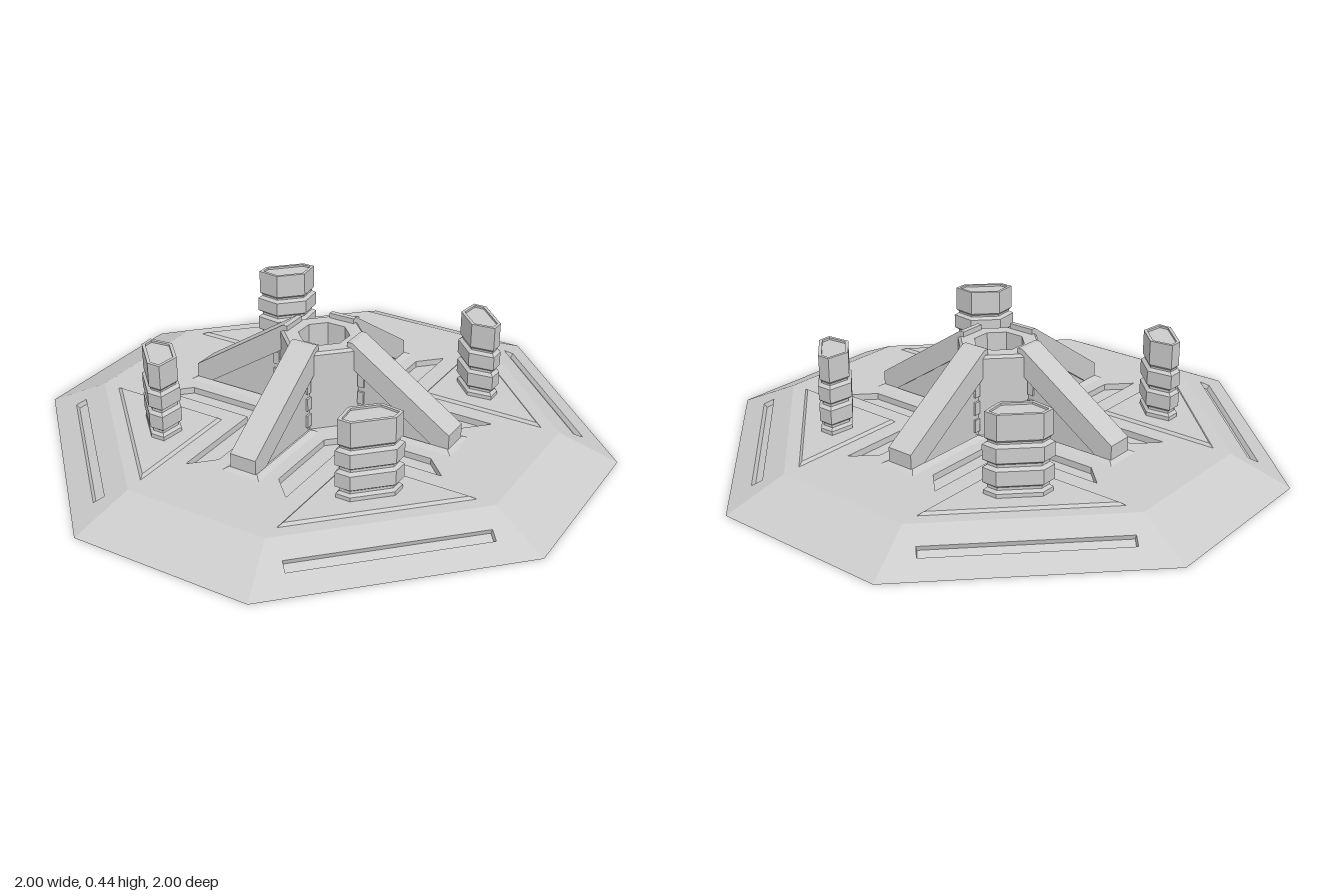
import * as THREE from 'three';

const material = new THREE.MeshStandardMaterial({ color: 0xcccccc, flatShading: true, side: THREE.DoubleSide });
const upright = (x, z, h) => [x, h, z];
const DECK = 0.1;

function mesh(name, geometry) {
  const m = new THREE.Mesh(geometry, material);
  m.name = name;
  return m;
}

function fromTriangles(flat) {
  const g = new THREE.BufferGeometry();
  g.setAttribute('position', new THREE.Float32BufferAttribute(flat, 3));
  g.computeVertexNormals();
  return g;
}

const vectors = pts => pts.map(([x, z]) => new THREE.Vector2(x, z));

// Same winding for every outline
function ordered(pts) {
  return THREE.ShapeUtils.isClockWise(vectors(pts)) ? [...pts].reverse() : pts;
}

// Grow (d > 0) or shrink (d < 0) an outline with mitred corners
function offset(pts, d) {
  const n = pts.length;
  const normal = (a, b) => {
    const dx = b[0] - a[0], dz = b[1] - a[1], l = Math.hypot(dx, dz);
    return [dz / l, -dx / l];
  };
  return pts.map((p, i) => {
    const a = normal(pts[(i + n - 1) % n], p), b = normal(p, pts[(i + 1) % n]);
    const k = d / (1 + a[0] * b[0] + a[1] * b[1]);
    return [p[0] + (a[0] + b[0]) * k, p[1] + (a[1] + b[1]) * k];
  });
}

// Upward face over an x,z outline, with holes
function face(name, pts, h, holes = [], map = upright) {
  const shape = new THREE.Shape(vectors(pts));
  holes.forEach(hole => shape.holes.push(new THREE.Path(vectors(hole))));
  const flat = new THREE.ShapeGeometry(shape), p = flat.attributes.position;
  const out = [];
  for (let i = 0; i < flat.index.count; i += 3) {
    for (const j of [0, 2, 1]) {
      const v = flat.index.getX(i + j);
      out.push(...map(p.getX(v), p.getY(v), h));
    }
  }
  return mesh(name, fromTriangles(out));
}

// Walls through [offset, height] steps, open at both ends
function walls(name, outline, steps, map = upright) {
  const pts = ordered(outline), out = [];
  const rings = steps.map(([d, h]) => offset(pts, d).map(([x, z]) => map(x, z, h)));
  for (let s = 0; s + 1 < rings.length; s++) {
    pts.forEach((_, i) => {
      const j = (i + 1) % pts.length, a = rings[s], b = rings[s + 1];
      out.push(...a[i], ...b[j], ...a[j], ...a[i], ...b[i], ...b[j]);
    });
  }
  return mesh(name, fromTriangles(out));
}

// Walls closed by a face at the last step
function cappedWalls(name, outline, steps, holes = [], map = upright) {
  const g = new THREE.Group();
  const [d, h] = steps[steps.length - 1];
  g.name = name;
  g.add(walls(name + 'Walls', outline, steps, map));
  g.add(face(name + 'Face', offset(ordered(outline), d), h, holes, map));
  return g;
}

const turn = (pts, a) => pts.map(([x, z]) =>
  [x * Math.cos(a) + z * Math.sin(a), z * Math.cos(a) - x * Math.sin(a)]);
const mirrored = half => [...half, ...half.map(([x, z]) => [-x, z]).reverse()];
const quarters = [0, 1, 2, 3].map(k => k * Math.PI / 2);

// Outlines of one quarter, facing +z
const triangle = [[-0.35, 0.75], [0.35, 0.75], [0, 0.4]];
const chevron = [[0, 0.3], [0.28, 0.58], [0.28, 0.46], [0.06, 0.24], [-0.06, 0.24], [-0.28, 0.46], [-0.28, 0.58]];
const pillarPlan = mirrored([[0.06, 0.56], [0.12, 0.635], [0.08, 0.675]]);
const slot = mirrored([[0.36, 0.92], [0.36, 0.88]]);
const columnPlan = quarters.flatMap(a => turn([[-0.093, 0.15], [0.093, 0.15]], a));
const well = quarters.flatMap(a => turn([[-0.037, 0.09], [0.037, 0.09]], a));
const finWidth = 0.04;

function quarterPanel() {
  const g = new THREE.Group();
  const slope = (x, z, h) => [x, (1 - z) / 2 + h * 0.9, z + h * 0.45];
  const corner = (x, z) => [x, (1.5 - x - z) / 3, z];
  g.add(face('skirt', mirrored([[0.5, 1], [0.4, 0.8]]), 0, [slot], slope));
  g.add(cappedWalls('skirtSlot', slot, [[0, 0], [-0.003, -0.018]], [], slope));
  g.add(face('skirtCorner', [[0.5, 1], [1, 0.5], [0.8, 0.4], [0.4, 0.8]], 0, [], corner));
  g.add(cappedWalls('raisedTriangle', triangle, [[0, DECK], [-0.01, 0.11]], [pillarPlan]));
  g.add(cappedWalls('chevronPocket', chevron, [[0, DECK], [0, 0.075]]));

  // Banded pillar with a shallow recess on top
  const profile = [[0, 0.11], [0, 0.125], [-0.01, 0.135]];
  for (const y of [0.15, 0.235]) {
    profile.push([-0.01, y - 0.005], [0.003, y + 0.005], [0.003, y + 0.06], [-0.01, y + 0.07]);
  }
  profile.push([-0.01, 0.312], [-0.003, 0.32], [-0.003, 0.415], [-0.015, 0.415], [-0.015, 0.407]);
  g.add(cappedWalls('pillar', pillarPlan, profile));
  return g;
}

function fin() {
  const g = new THREE.Group();
  // Sloping beam
  const beam = new THREE.Shape(vectors([[0.13, 0.435], [0.15, 0.435], [0.556, 0.165],
    [0.556, DECK], [0.5, DECK], [0.17, 0.32], [0.13, 0.35]]));
  const beamGeometry = new THREE.ExtrudeGeometry(beam, { depth: 0.106, bevelEnabled: false });
  beamGeometry.translate(0, 0, -0.053).rotateY(-Math.PI / 2);
  g.add(mesh('finBeam', beamGeometry));

  // Thin side walls below the beam, hollow between them
  const web = new THREE.Shape(vectors([[0.17, DECK], [0.5, DECK], [0.5, 0.115], [0.17, 0.34]]));
  for (const side of [-1, 1]) {
    const wall = mesh('finWall', new THREE.ShapeGeometry(web).rotateY(-Math.PI / 2));
    wall.position.x = side * finWidth;
    g.add(wall);
    // Stacked bands where the wall meets the column
    for (const y of [0.145, 0.215, 0.285]) {
      const band = mesh('columnBand', new THREE.BoxGeometry(0.016, 0.05, 0.025));
      band.position.set(side * finWidth, y, 0.185);
      g.add(band);
    }
  }
  // Low sloped kerb around the foot
  g.add(walls('finKerb', mirrored([[0.078, 0.17], [0.078, 0.575]]), [[0, DECK], [-0.022, 0.112]]));
  return g;
}

export function createModel() {
  const model = new THREE.Group();
  model.name = 'platform';

  // Deck, open below the fins, column and raised parts
  const deckEdge = quarters.flatMap(a => turn([[-0.4, 0.8], [0.4, 0.8]], a));
  const crossOpening = quarters.flatMap(a => turn([[-finWidth, 0.172], [-finWidth, 0.5],
    [finWidth, 0.5], [finWidth, 0.172]], a + Math.PI / 4));
  const holes = quarters.flatMap(a => [turn(triangle, a), turn(chevron, a)]);
  model.add(face('deck', deckEdge, DECK, [crossOpening, ...holes]));

  // Hollow column with an octagonal well
  model.add(cappedWalls('column', columnPlan, [[0, DECK], [0, 0.405], [-0.01, 0.415]], [well]));
  model.add(cappedWalls('well', well, [[0, 0.415], [0, 0.17]]));

  for (const a of quarters) {
    const panel = quarterPanel();
    panel.name = 'quarterPanel';
    panel.rotation.y = a;
    const buttress = fin();
    buttress.name = 'fin';
    buttress.rotation.y = a + Math.PI / 4;
    model.add(panel, buttress);
  }
  return model;
}
